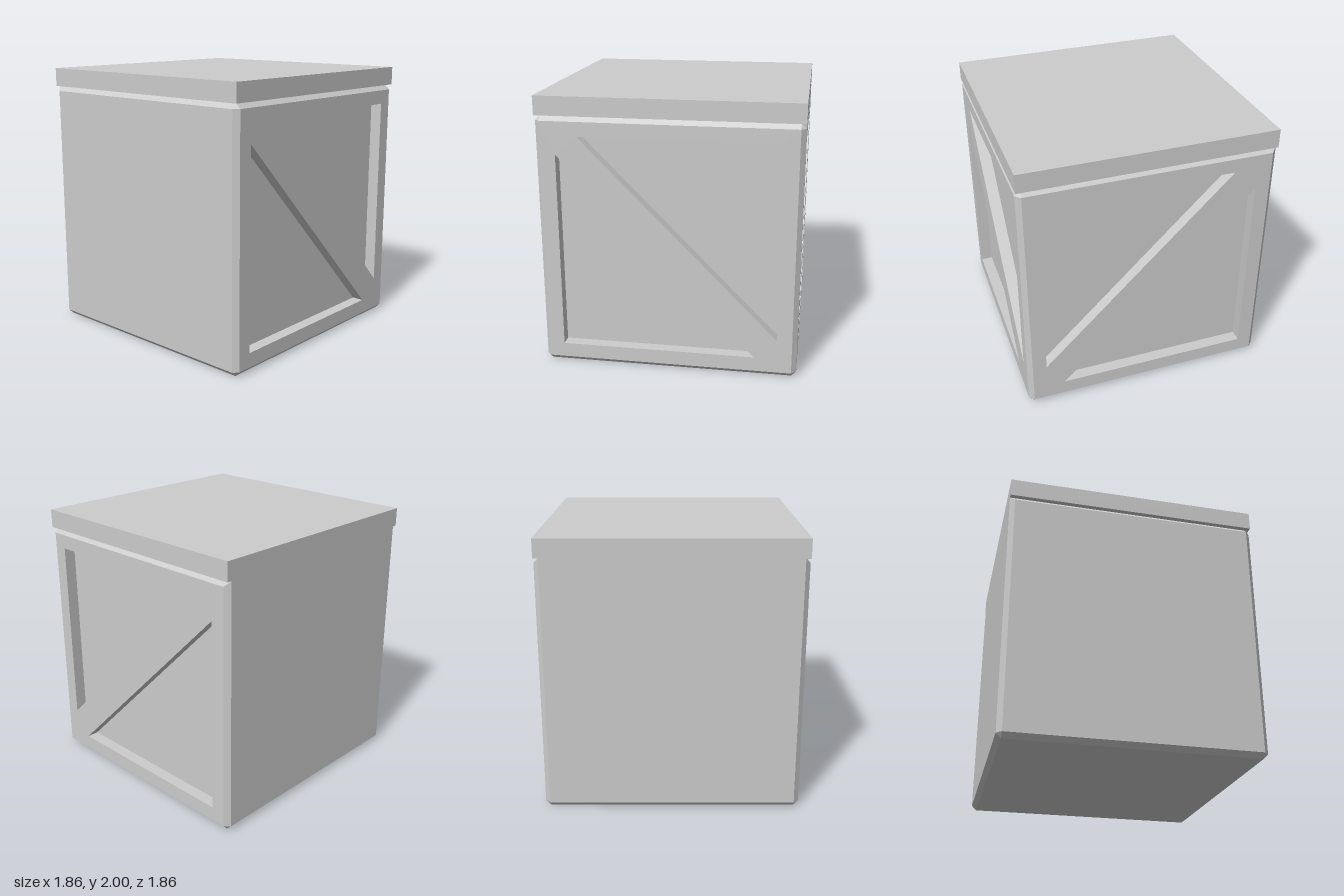
import * as THREE from 'three';

const F = 0.93;       // half width of the crate
const A = 0.894;      // half width inside the chamfered edges
const LOW = 0.036;    // top of the bottom chamfer
const HIGH = 1.826;   // bottom of the top chamfer
const RIM = 1.863;    // underside of the lid
const DEPTH = 0.088;  // depth of the triangular recesses

// Flat faces from a list of four-cornered loops
function quads(list) {
  const pos = [];
  for (const [a, b, c, d] of list) pos.push(...a, ...b, ...c, ...a, ...c, ...d);
  const g = new THREE.BufferGeometry();
  g.setAttribute('position', new THREE.Float32BufferAttribute(pos, 3));
  g.computeVertexNormals();
  return g;
}

// Horizontal eight-cornered ring, starting at the front face
const ring = (y, f, a, back = f, backSide = a) => [
  [-a, y, f], [a, y, f], [f, y, a], [f, y, -backSide],
  [a, y, -back], [-a, y, -back], [-f, y, -backSide], [-f, y, a],
];

export function createModel() {
  const crate = new THREE.Group();
  crate.name = 'crate';
  const grey = new THREE.MeshStandardMaterial({ color: 0xcccccc });
  grey.name = 'light grey';

  const add = (parent, name, geometry) => {
    const mesh = new THREE.Mesh(geometry, grey);
    mesh.name = name;
    parent.add(mesh);
  };

  // Chamfered shell; the front and right walls are left open for the panels.
  // The top chamfer runs round three sides, the back stays flush with the lid.
  const rings = [ring(0, A, A), ring(LOW, F, A), ring(HIGH, F, A), ring(RIM, A, A, F, F)];
  const faces = [];
  for (let r = 0; r < 3; r++) {
    for (let i = 0; i < 8; i++) {
      if (r === 1 && (i === 0 || i === 2)) continue;
      const j = (i + 1) % 8;
      // start at the lower ring's second corner, so collapsed edges stay valid
      faces.push([rings[r][i], rings[r][j], rings[r + 1][j], rings[r + 1][i]]);
    }
  }
  faces.push([[-A, 0, -A], [A, 0, -A], [A, 0, A], [-A, 0, A]]);
  add(crate, 'shell', quads(faces));

  // Lid
  const lid = new THREE.BoxGeometry(2 * F, 2 - RIM, 2 * F);
  lid.translate(0, (2 + RIM) / 2, 0);
  add(crate, 'lid', lid);

  // Braced wall: a frame with a diagonal bar between two sunken triangles
  const bracedWall = (name, triangles) => {
    const wall = new THREE.Group();
    wall.name = name;
    const toShape = (pts) => new THREE.Shape(pts.map(([x, y]) => new THREE.Vector2(x, y)));
    const frame = toShape([[-A, LOW], [A, LOW], [A, HIGH], [-A, HIGH]]);
    frame.holes = triangles.map(toShape);
    add(wall, 'frame', new THREE.ShapeGeometry(frame).translate(0, 0, F));
    for (const tri of triangles) {
      add(wall, 'recessFloor', new THREE.ShapeGeometry(toShape(tri)).translate(0, 0, F - DEPTH));
      add(wall, 'recessSides', quads(tri.map((a, i) => {
        const b = tri[(i + 1) % 3];
        return [[...a, F], [...b, F], [...b, F - DEPTH], [...a, F - DEPTH]];
      })));
    }
    crate.add(wall);
    return wall;
  };

  bracedWall('frontWall', [
    [[-0.788, 0.143], [0.622, 0.143], [-0.788, 1.59]],
    [[-0.63, 1.722], [0.785, 0.287], [0.785, 1.722]],
  ]);
  bracedWall('sideWall', [
    [[-0.79, 0.331], [0.614, 1.722], [-0.79, 1.722]],
    [[-0.658, 0.143], [0.785, 0.143], [0.785, 1.565]],
  ]).rotation.y = Math.PI / 2;

  return crate;
}
